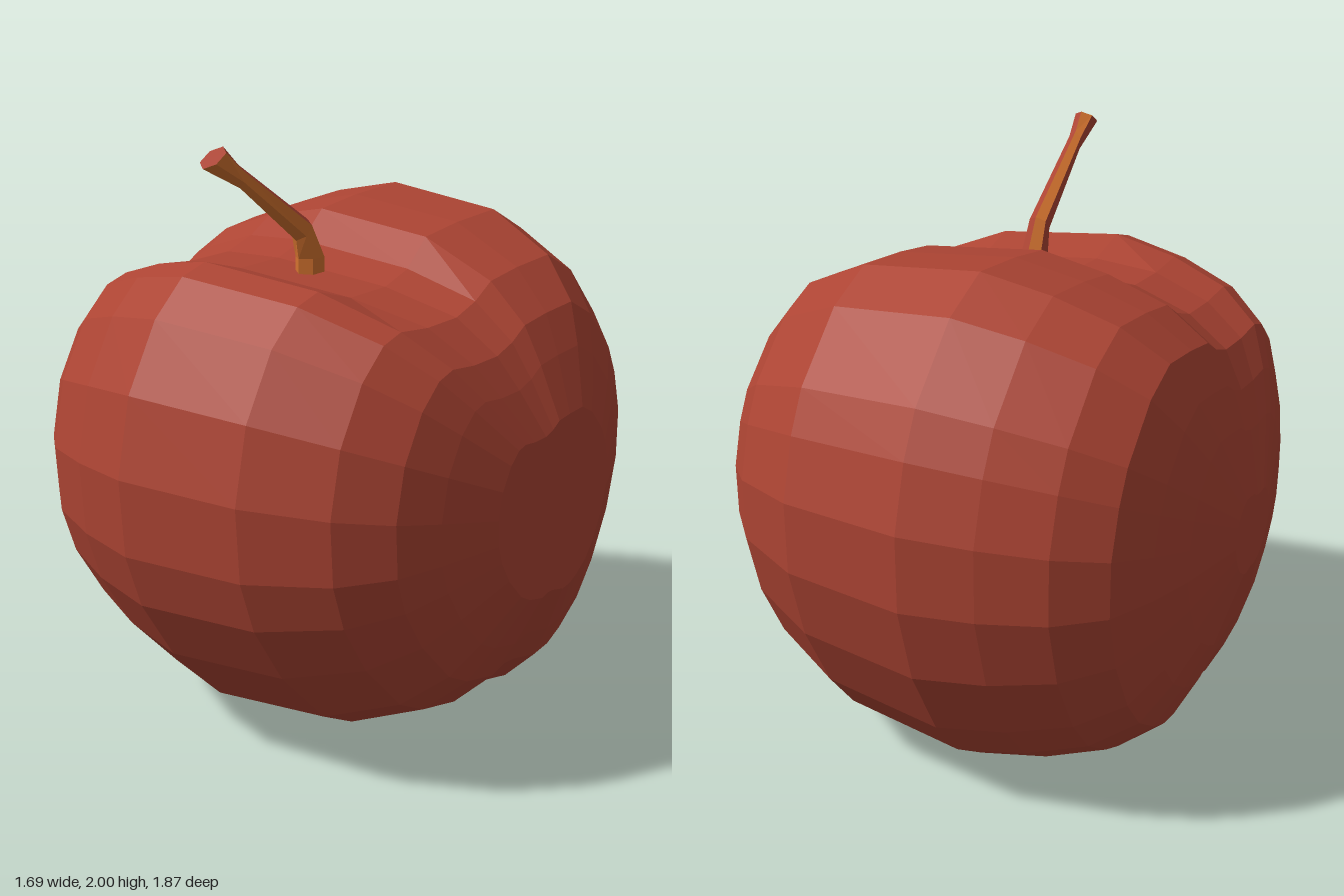
import * as THREE from 'three';

// Flat-shaded skin over rings of equal length; faces picks strips, caps close the ends
function loft(rings, { faces = null, start = false, end = false }) {
  const pos = [];
  const n = rings[0].length;
  const tri = (...pts) => pts.forEach((p) => pos.push(p.x, p.y, p.z));
  const centre = (ring) =>
    ring.reduce((sum, p) => sum.add(p), new THREE.Vector3()).divideScalar(n);
  for (let j = 0; j < n; j++) {
    const k = (j + 1) % n;
    if (!faces || faces.includes(j)) {
      for (let i = 0; i < rings.length - 1; i++) {
        const a = rings[i], b = rings[i + 1];
        tri(a[j], a[k], b[k]);
        tri(a[j], b[k], b[j]);
      }
    }
    const first = rings[0], last = rings[rings.length - 1];
    if (start) tri(centre(first), first[k], first[j]);
    if (end) tri(centre(last), last[j], last[k]);
  }
  const geometry = new THREE.BufferGeometry();
  geometry.setAttribute('position', new THREE.Float32BufferAttribute(pos, 3));
  geometry.computeVertexNormals();
  return geometry;
}

function addMesh(group, name, geometry, material) {
  const mesh = new THREE.Mesh(geometry, material);
  mesh.name = name;
  group.add(mesh);
}

export function createModel() {
  const model = new THREE.Group();
  model.name = 'apple';
  const red = new THREE.MeshStandardMaterial({ color: 0xac4433 });
  red.name = 'apple red';
  const orange = new THREE.MeshStandardMaterial({ color: 0xd4732f });
  orange.name = 'stem orange';

  // Side outline as [z, y], from the stem hollow round the front, base and back
  const outline = [
    [0.2, 1.61], [0.38, 1.605], [0.54, 1.62], [0.64, 1.59], [0.76, 1.48],
    [0.88, 1.27], [0.935, 1.02], [0.92, 0.77], [0.86, 0.59], [0.73, 0.38],
    [0.52, 0.16], [0.37, 0.08], [0.16, 0.03], [0.06, 0.055], [-0.02, 0.05],
    [-0.21, 0.005], [-0.33, 0.02], [-0.44, 0.07], [-0.6, 0.18], [-0.73, 0.34],
    [-0.86, 0.59], [-0.93, 0.85], [-0.93, 1.1], [-0.87, 1.31], [-0.8, 1.45],
    [-0.6, 1.66], [-0.42, 1.75], [-0.2, 1.735], [-0.02, 1.71], [0.08, 1.65],
  ];
  // Slices across the fruit as [x, scale of the outline]
  const slices = [
    [-0.847, 0.155], [-0.79, 0.42], [-0.74, 0.58], [-0.67, 0.737], [-0.53, 0.86],
    [-0.33, 0.945], [-0.1, 1], [0.325, 0.946], [0.575, 0.815], [0.705, 0.67],
    [0.77, 0.53], [0.845, 0.335],
  ];
  const midY = 0.89;
  const fruit = slices.map(([x, s]) => outline.map(([z, y], j) => {
    // Middle slices sink a little around the stem
    const sunk = x > -0.2 && x < 0.4 && (j < 2 || j === 29) ? 0.03 : 0;
    return new THREE.Vector3(x, midY + (y - midY) * s - sunk, z * s);
  }));
  addMesh(model, 'fruit', loft(fruit, { start: true, end: true }), red);

  // Stem rings: x, half width, then lower and upper edge as [z, y]
  const stem = [
    [0.062, 0.036, [0.29, 1.56], [0.18, 1.56]],
    [0.062, 0.036, [0.29, 1.61], [0.18, 1.61]],
    [0.066, 0.03, [0.305, 1.67], [0.25, 1.73]],
    [0.097, 0.022, [0.59, 1.87], [0.605, 1.945]],
    [0.108, 0.032, [0.755, 1.945], [0.67, 2.0]],
  ].map(([x, w, lo, hi]) => Array.from({ length: 6 }, (_, j) => {
    const a = (j * Math.PI) / 3;
    const t = (1 + Math.cos(a)) / 2;
    return new THREE.Vector3(
      x - (w * Math.sin(a)) / Math.sin(Math.PI / 3),
      lo[1] + (hi[1] - lo[1]) * t,
      lo[0] + (hi[0] - lo[0]) * t,
    );
  }));
  const stemGroup = new THREE.Group();
  stemGroup.name = 'stem';
  addMesh(stemGroup, 'stemBark', loft(stem, { faces: [0, 2, 3, 4] }), orange);
  addMesh(stemGroup, 'stemRedStripsAndTip', loft(stem, { faces: [1, 5], end: true }), red);
  model.add(stemGroup);
  return model;
}
